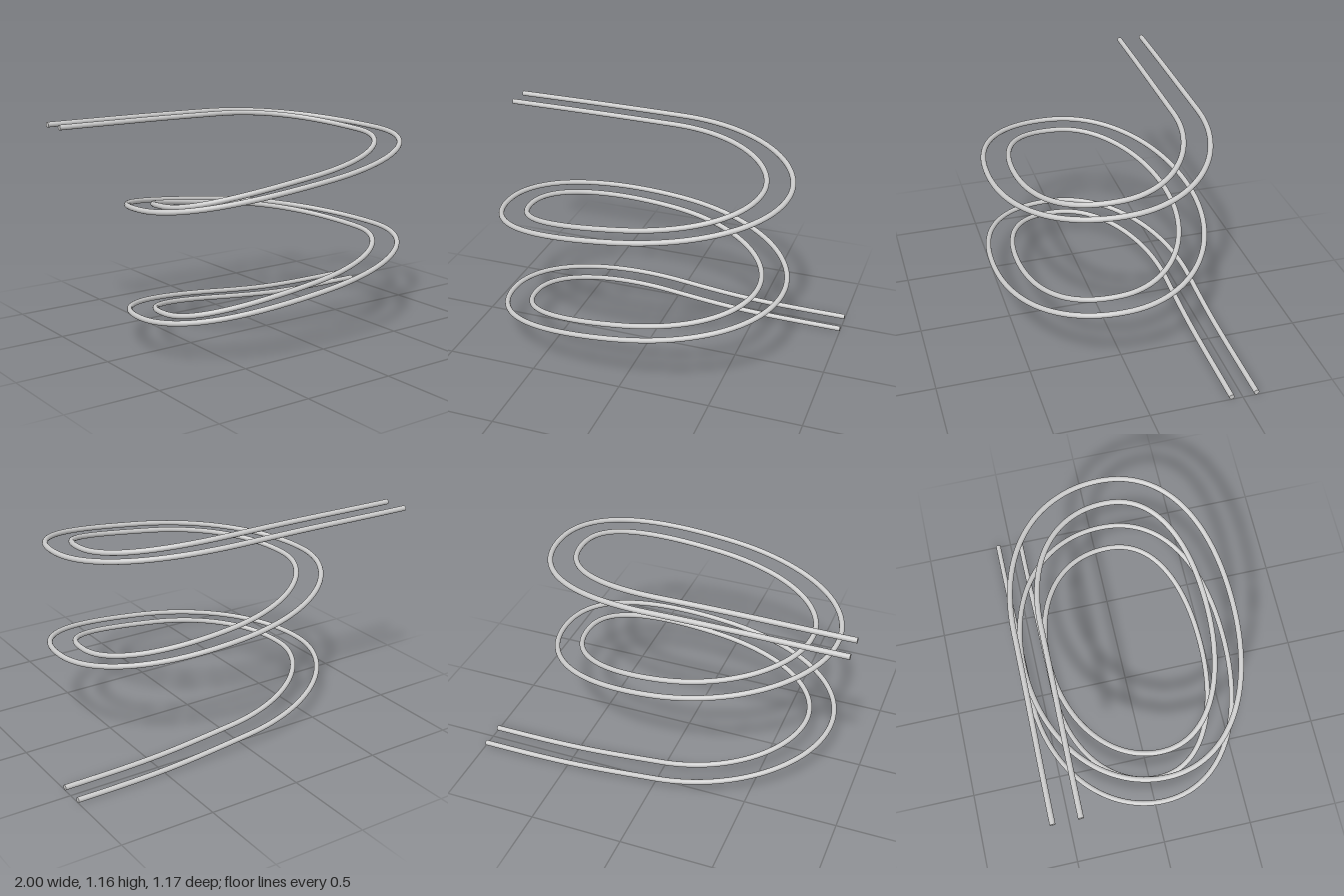
import * as THREE from 'three';

const RADIUS = 0.0143;
const HALF_GAUGE = 0.068;

// Centre line of the track: cubic curves through knots [position, handle]
function centreLine() {
  const left = y => [[-0.745, y, 0.04], [0, 0.015, 0.3]];
  const front = y => [[-0.02, y, 0.503], [0.42, 0.05, 0]];
  const right = y => [[0.693, y, 0.04], [0, 0.015, -0.31]];
  const back = (y, rise, z = -0.496) => [[-0.01, y, z], [-0.42, rise, 0]];
  const knots = [
    [[1, 0.0145, -0.507], [-0.5, 0, 0]],
    back(0.066, 0.047, -0.499), left(0.203), front(0.345), right(0.487),
    back(0.63, 0.05), left(0.768), front(0.91), right(1.05),
    back(1.139, 0.006, -0.501),
    [[-1, 1.142, -0.507], [-0.4, 0, 0]],
  ].map(k => k.map(a => new THREE.Vector3(...a)));

  const path = new THREE.CurvePath();
  for (let i = 0; i < knots.length - 1; i++) {
    const [p, h] = knots[i], [q, g] = knots[i + 1];
    path.add(new THREE.CubicBezierCurve3(p, p.clone().add(h), q.clone().sub(g), q));
  }
  return path;
}

// Line parallel to the centre line, shifted sideways in the horizontal plane
function parallelLine(path, offset) {
  const points = [];
  const steps = 24;
  path.curves.forEach((curve, c) => {
    for (let i = c ? 1 : 0; i <= steps; i++) {
      const t = curve.getTangent(i / steps);
      const side = new THREE.Vector3(t.z, 0, -t.x).normalize();
      points.push(curve.getPoint(i / steps).addScaledVector(side, offset));
    }
  });
  return new THREE.CatmullRomCurve3(points);
}

export function createModel() {
  const model = new THREE.Group();
  model.name = 'spiralTrack';
  const material = new THREE.MeshStandardMaterial({ color: 0xcccccc });
  const path = centreLine();

  for (const [name, offset] of [['innerRail', -HALF_GAUGE], ['outerRail', HALF_GAUGE]]) {
    const line = parallelLine(path, offset);
    const rail = new THREE.Group();
    rail.name = name;
    const tube = new THREE.Mesh(new THREE.TubeGeometry(line, 320, RADIUS, 16), material);
    tube.name = name + 'Tube';
    rail.add(tube);

    // Flat caps on both open ends
    for (const [u, sign] of [[0, 1], [1, -1]]) {
      const cap = new THREE.Mesh(new THREE.CircleGeometry(RADIUS, 16), material);
      cap.name = name + 'EndCap';
      cap.position.copy(line.getPoint(u));
      cap.rotation.y = sign * Math.PI / 2;
      rail.add(cap);
    }
    model.add(rail);
  }
  return model;
}
